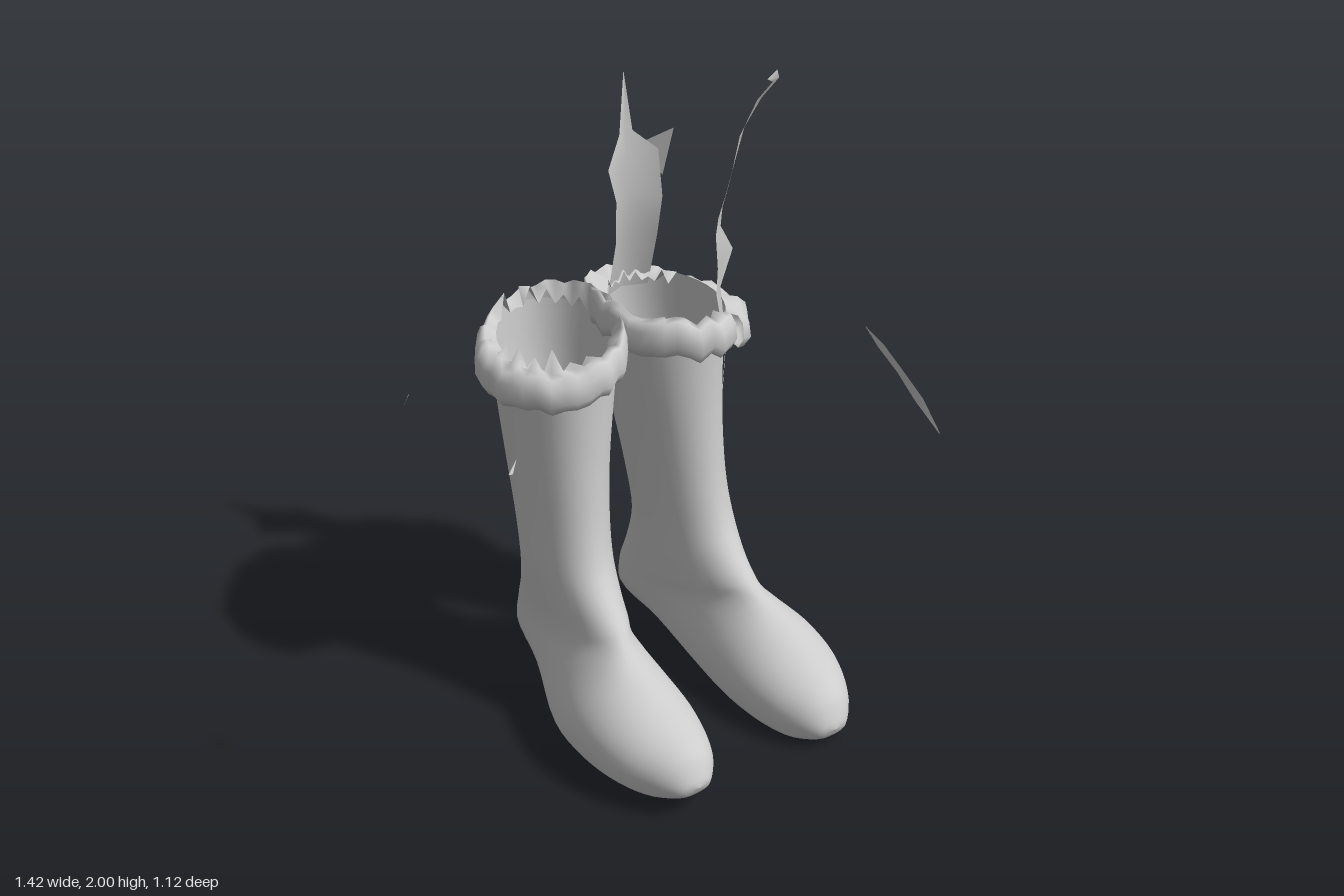
import * as THREE from 'three';

const leather = new THREE.MeshStandardMaterial({ color: 0xcccccc });
leather.name = 'paleGrey';
leather.side = THREE.DoubleSide;

// Small seeded generator for the torn edges
function seeded(seed) {
  let s = seed;
  return () => (s = (s * 16807) % 2147483647) / 2147483647;
}

// Smooth surface through rows of [x, y, z] points
function surface(name, rows, closed = false) {
  const n = rows[0].length;
  const index = [];
  for (let i = 0; i < rows.length - 1; i++) {
    for (let j = 0; j < (closed ? n : n - 1); j++) {
      const k = (j + 1) % n;
      const a = i * n + j, b = i * n + k, c = a + n, d = b + n;
      index.push(a, c, b, b, c, d);
    }
  }
  const geo = new THREE.BufferGeometry();
  geo.setAttribute('position', new THREE.Float32BufferAttribute(rows.flat(2), 3));
  geo.setIndex(index);
  geo.computeVertexNormals();
  const mesh = new THREE.Mesh(geo, leather);
  mesh.name = name;
  return mesh;
}

// Boot cross-sections from rim to toe: front/top point, back/sole point, half width, squareness
const SECTIONS = [
  [[.2, 1.19, -.08], [.18, 1.19, -.55], .19, 1],
  [[.205, 1, -.08], [.195, 1, -.525], .17, .95],
  [[.215, .8, -.07], [.21, .8, -.48], .148, .9],
  [[.225, .62, -.045], [.22, .6, -.43], .133, .85],
  [[.235, .5, -.005], [.225, .43, -.408], .127, .85],
  [[.24, .42, .06], [.215, .28, -.445], .122, .85],
  [[.245, .37, .12], [.21, .17, -.482], .118, .8],
  [[.252, .345, .15], [.215, .095, -.468], .12, .65],
  [[.262, .315, .19], [.245, .068, -.25], .138, .55],
  [[.27, .275, .27], [.275, .03, .02], .172, .5],
  [[.272, .235, .36], [.277, .012, .2], .175, .5],
  [[.268, .2, .44], [.272, .005, .35], .15, .5],
  [[.262, .165, .51], [.265, .008, .46], .106, .55],
  [[.26, .1, .55], [.262, .035, .535], .05, .8],
  [[.26, .075, .557], [.26, .075, .557], 0, 1],
];

function boot(name, side, lift, shift, heelIn) {
  const place = ([x, y, z]) => {
    const low = 1 - y / 1.19;
    const heel = z < -.2 ? heelIn : 0;
    return new THREE.Vector3(side * (x - heel), y + lift * low, z + shift * low);
  };
  const curve = (f) => new THREE.CatmullRomCurve3(SECTIONS.map(f));
  const front = curve((s) => place(s[0]));
  const back = curve((s) => place(s[1]));
  const size = curve((s, i) => new THREE.Vector3(s[2], s[3], i));
  const rows = [];
  const STEPS = 56, SIDES = 36;
  for (let i = 0; i <= STEPS; i++) {
    const u = i / STEPS;
    const f = front.getPoint(u), b = back.getPoint(u), s = size.getPoint(u);
    const middle = .2 + .3 * s.y; // the foot is widest near the sole
    const row = [];
    for (let j = 0; j < SIDES; j++) {
      const t = (j / SIDES) * Math.PI * 2;
      const c = Math.cos(t), sn = Math.sin(t);
      const e = c < 0 ? s.y : 1;
      const reach = c < 0 ? -middle * Math.abs(c) ** e : (1 - middle) * c;
      const p = b.clone().lerp(f, middle + reach);
      p.x += Math.max(0, s.x) * Math.sign(sn) * Math.abs(sn) ** e;
      row.push(p.toArray());
    }
    rows.push(row);
  }
  return surface(name, rows, true);
}

// Rolled, torn cuff over an arc of the rim (angle 0 = front, positive = outer side)
function cuff(name, side, t0, t1, n, { base, amp, peak, spread, low, spike, inward, skew, seed }) {
  const rnd = seeded(seed);
  const rows = [[], [], [], [], [], [], []];
  for (let j = 0; j <= n; j++) {
    const t = t0 + ((t1 - t0) * j) / n;
    const angle = Math.min(Math.PI / 2, Math.abs(t - peak) * spread);
    const out = base + amp * Math.cos(angle) * (.9 + .2 * rnd());
    const hem = low - .03 * Math.sin(t) + .03 * rnd(); // sags on the outer side
    const tip = 1.18 + (j % 2 ? spike * rnd() : 0);
    const profile = [
      [-inward, tip], [out * .3, hem + .115], [out * .65, hem + .11],
      [out * .92, hem + .085], [out, hem + .035], [out * .7, hem], [.004, hem + .03],
    ];
    profile.forEach(([o, y], i) => rows[i].push([
      side * (.2 - skew * (1 - Math.cos(t)) + (.19 + o) * Math.sin(t)), y,
      -.315 + (.235 + o) * Math.cos(t),
    ]));
  }
  return surface(name, rows);
}

export function createModel() {
  const model = new THREE.Group();
  model.name = 'tornBoots';

  model.add(
    boot('leftBoot', 1, 0, -.012, 0),
    boot('rightBoot', -1, .04, .005, .03),
  );

  // Cuffs
  model.add(
    cuff('rightCuff', -1, -Math.PI, Math.PI, 42,
      { base: .006, amp: .085, peak: .75, spread: .85, low: 1.1, spike: .09, inward: .02, skew: .025, seed: 7 }),
    cuff('leftFrontCuff', 1, -1.9, .4, 16,
      { base: .008, amp: .065, peak: -.2, spread: .9, low: 1.11, spike: .09, inward: .01, skew: .01, seed: 21 }),
    cuff('leftOuterCuff', 1, .75, 2.1, 10,
      { base: .006, amp: .085, peak: 1.3, spread: 1.5, low: 1.07, spike: .02, inward: 0, skew: .01, seed: 5 }),
    cuff('leftBackCuff', 1, 2.1, 4.3, 16,
      { base: .008, amp: .003, peak: 3.1, spread: 1, low: 1.09, spike: .05, inward: .06, skew: .01, seed: 11 }),
  );

  // Torn flap standing at the back of the left boot
  model.add(surface('backFlap', [
    [[.13, 1.15, -.49], [.2, 1.15, -.52], [.28, 1.15, -.49]],
    [[.13, 1.35, -.44], [.2, 1.35, -.475], [.275, 1.35, -.43]],
    [[.12, 1.5, -.42], [.19, 1.5, -.45], [.28, 1.48, -.41]],
    [[.08, 1.62, -.4], [.18, 1.62, -.45], [.265, 1.64, -.41]],
    [[.15, 1.7, -.445], [.18, 1.72, -.458], [.2, 1.7, -.45]],
    [[.18, 1.89, -.465], [.18, 1.89, -.465], [.18, 1.89, -.465]],
  ]));
  model.add(surface('backFlapPoint', [
    [[.225, 1.66, -.44], [.28, 1.55, -.41]],
    [[.3, 1.71, -.38], [.3, 1.71, -.38]],
  ]));

  // Long strip peeling up from the outer front of the left boot
  model.add(surface('frontStrip', [
    [[.345, .8, -.185], [.35, .8, -.19]],
    [[.34, 1.05, -.16], [.365, 1.05, -.19]],
    [[.3, 1.25, -.155], [.34, 1.25, -.19]],
    [[.3, 1.34, -.15], [.38, 1.37, -.185]],
    [[.28, 1.46, -.135], [.33, 1.46, -.18]],
    [[.27, 1.53, -.11], [.325, 1.53, -.165]],
    [[.295, 1.65, -.09], [.33, 1.65, -.13]],
    [[.3, 1.8, -.055], [.35, 1.8, -.1]],
    [[.325, 1.92, -.01], [.375, 1.9, -.055]],
    [[.35, 1.98, .025], [.4, 1.97, -.01]],
    [[.32, 2, .04], [.385, 2, 0]],
  ]));

  // Loose scraps
  model.add(surface('longScrap', [
    [[.52, 1.27, .275], [.522, 1.268, .275]],
    [[.565, 1.19, .285], [.575, 1.2, .3]],
    [[.62, 1.1, .315], [.625, 1.11, .34]],
    [[.66, 1.01, .355], [.675, 1.02, .375]],
    [[.708, .91, .42], [.71, .91, .422]],
  ]));
  model.add(surface('smallScrapBack', [
    [[-.675, 1.11, -.33], [-.66, 1.118, -.34]],
    [[-.64, 1.115, -.365], [-.64, 1.12, -.365]],
  ]));
  model.add(surface('smallScrapFront', [
    [[-.71, 1.23, .315], [-.7, 1.23, .32]],
    [[-.675, 1.26, .3], [-.675, 1.26, .3]],
  ]));

  return model;
}
